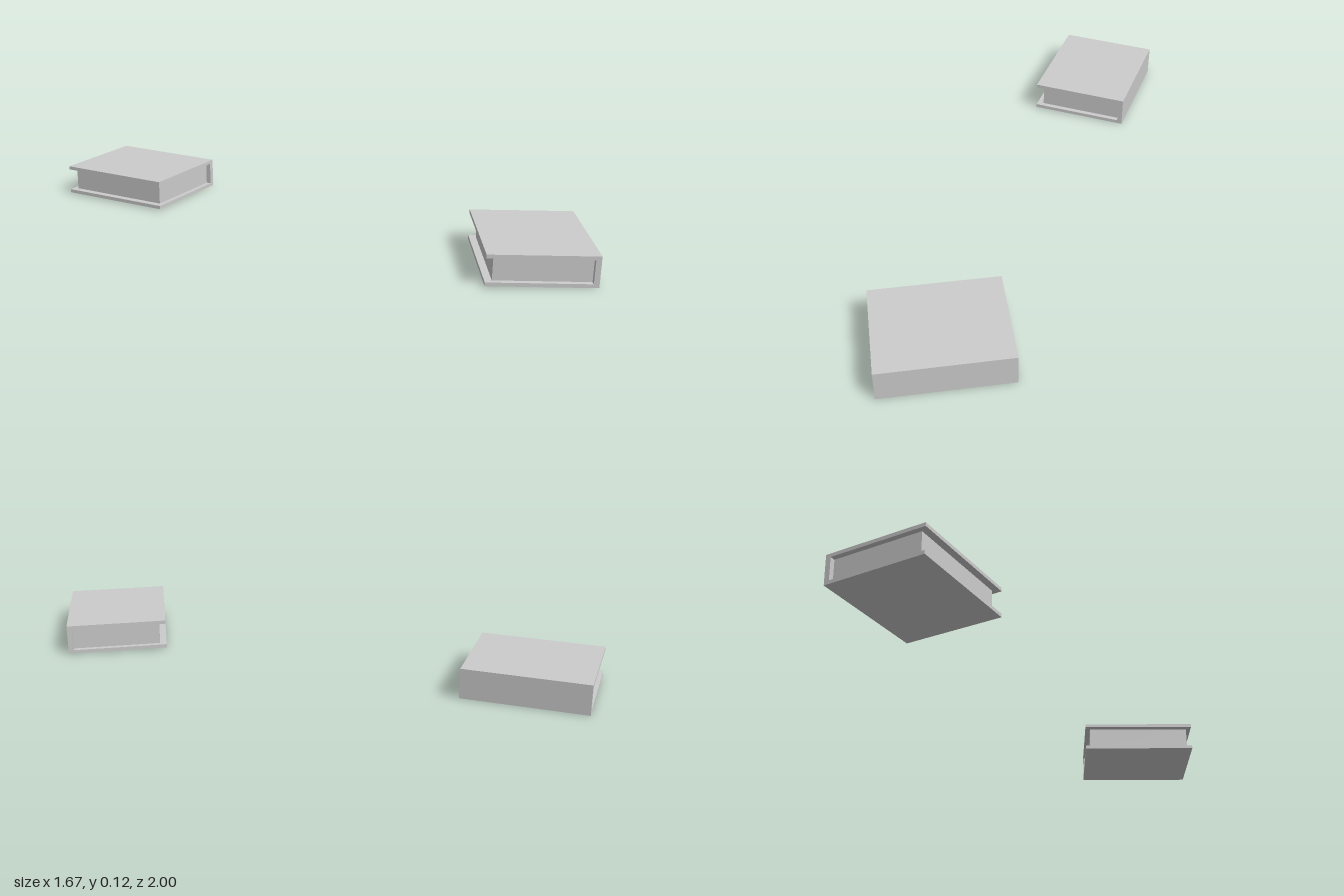
import * as THREE from 'three';

const WIDTH = 0.396, LENGTH = 0.475, HEIGHT = 0.117;
const BOARD = 0.014, SPINE = 0.02;
const FORE_INSET = 0.027, END_INSET = 0.02;

// One closed book, spine towards local +x, centred on its own origin
function createBook(name) {
  const material = new THREE.MeshStandardMaterial({ color: 0xcccccc, flatShading: true });
  const book = new THREE.Group();
  book.name = name;

  // Cover: both boards and the spine as one C-shaped section along z
  const w = WIDTH / 2, h = HEIGHT / 2;
  const section = new THREE.Shape([
    [-w, -h], [w, -h], [w, h], [-w, h],
    [-w, h - BOARD], [w - SPINE, h - BOARD],
    [w - SPINE, -h + BOARD], [-w, -h + BOARD],
  ].map(([x, y]) => new THREE.Vector2(x, y)));
  const coverGeometry = new THREE.ExtrudeGeometry(section, { depth: LENGTH, bevelEnabled: false });
  coverGeometry.translate(0, 0, -LENGTH / 2);
  const cover = new THREE.Mesh(coverGeometry, material);
  cover.name = 'cover';

  // Page block, set back from the fore edge and both ends
  const pageWidth = WIDTH - SPINE - FORE_INSET;
  const pages = new THREE.Mesh(
    new THREE.BoxGeometry(pageWidth, HEIGHT - 2 * BOARD, LENGTH - 2 * END_INSET), material);
  pages.name = 'pages';
  pages.position.x = w - SPINE - pageWidth / 2;

  book.add(cover, pages);
  return book;
}

export function createModel() {
  const model = new THREE.Group();
  model.name = 'books';

  // Two books lying apart, each tipped slightly down towards its spine
  const placements = [
    ['backBook', -0.535, -0.691, 0.68],
    ['frontBook', 0.56, 0.70, -0.40],
  ];
  for (const [name, x, z, turn] of placements) {
    const book = createBook(name);
    book.position.set(x, 0.0615, z);
    book.rotation.set(0, turn, -0.015);
    model.add(book);
  }
  return model;
}
